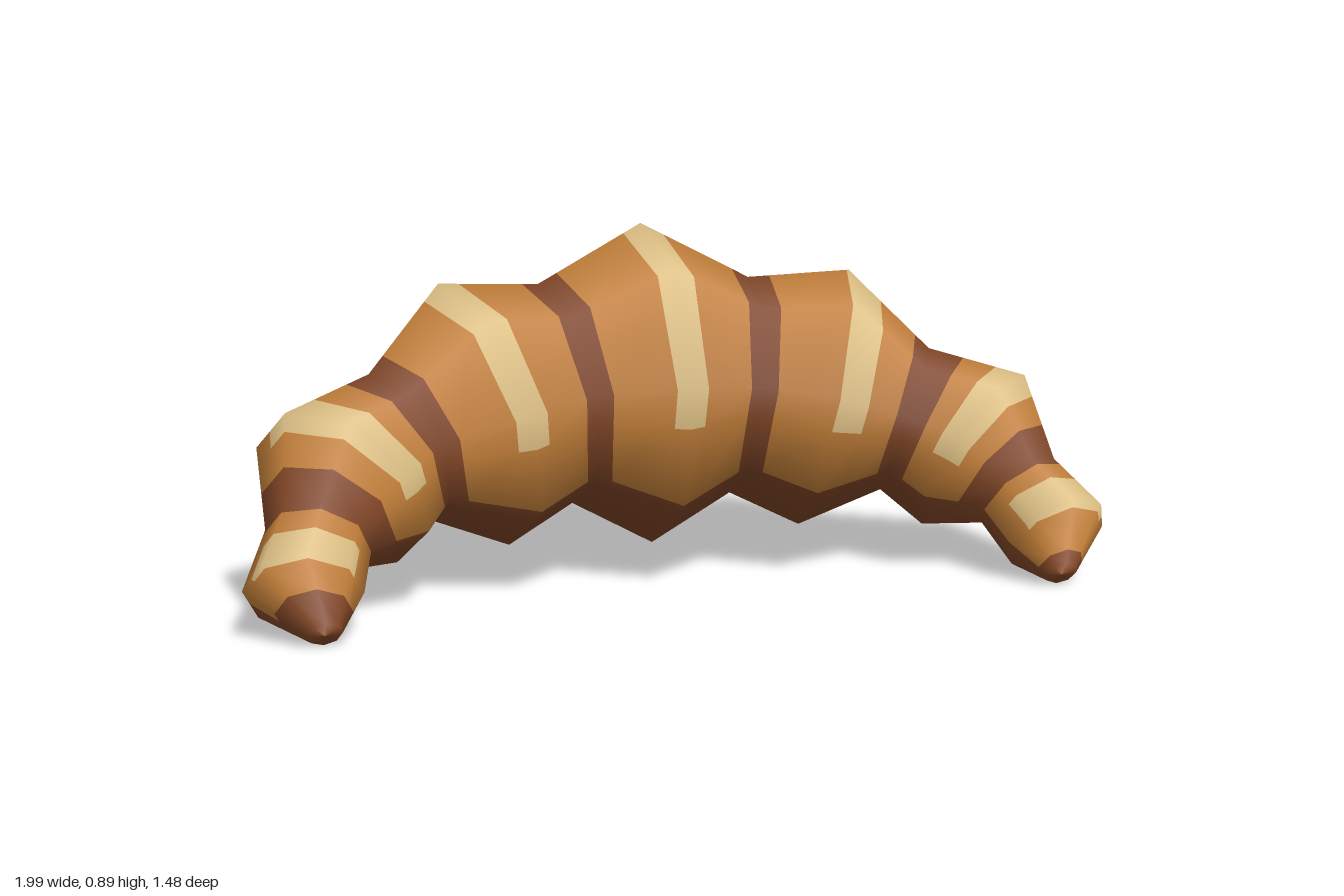
import * as THREE from 'three';

const SIDES = 8;

// Half of the crescent, centre to tip: [along, bend, heading in degrees, radius]; ridges and valleys alternate
const HALF = [
  [0, 0, 0, 0.415],
  [0.248, 0.022, 10, 0.284],
  [0.469, 0.08, 19, 0.342],
  [0.671, 0.172, 30, 0.197],
  [0.827, 0.292, 52, 0.237],
  [0.902, 0.44, 72, 0.125],
  [0.955, 0.59, 84, 0.138],
  [0.922, 0.714, 92, 0.04],
  [0.922, 0.718, 92, 0],
];
const LAST = HALF.length - 1;

// Stripes from the right tip to the left tip: [start, end, colour], counted in rings from the centre
const STRIPES = [
  [-8, -6.5, 'dark'],
  [-6.05, -5.45, 'pale'],
  [-5.07, -4.57, 'dark'],
  [-4.2, -3.66, 'pale'],
  [-3.27, -2.8, 'dark'],
  [-2.2, -1.8, 'pale'],
  [-1.16, -0.82, 'dark'],
  [-0.17, 0.21, 'pale'],
  [0.85, 1.21, 'dark'],
  [1.98, 2.4, 'pale'],
  [2.83, 3.36, 'dark'],
  [3.7, 4.26, 'pale'],
  [4.6, 5.12, 'dark'],
  [5.45, 6.12, 'pale'],
  [6.78, 8, 'dark'],
];

// Stations round a ring, counted in sides from the lower front edge: corners plus colour borders
const PALE_FROM = 0.66;
const PALE_TO = 3.52;
const BACK_MIDDLE = 4.2;
const BACK_ENDS = 4.45;
const STATIONS = [-0.25, 0, PALE_FROM, 1, 2, 3, PALE_TO, 4, BACK_MIDDLE, BACK_ENDS, 5, 6, 7, 7.75];

// Corner k of ring i (negative i is the mirrored half), with its outward direction
function corner(i, k) {
  const [u, v, deg, r] = HALF[Math.abs(i)];
  const side = Math.sign(i);
  const heading = side * THREE.MathUtils.degToRad(deg);
  const a = (k / SIDES) * Math.PI * 2;
  const normal = new THREE.Vector3(-Math.sin(heading) * Math.cos(a), Math.sin(a), Math.cos(heading) * Math.cos(a));
  const point = new THREE.Vector3(side * u, 0, v).addScaledVector(normal, r);
  return { point, normal };
}

function mix(a, b, t) {
  return {
    point: a.point.clone().lerp(b.point, t),
    normal: a.normal.clone().lerp(b.normal, t).normalize(),
  };
}

// Point on the crust at ring position p and station s
function surface(p, s) {
  const i = Math.min(Math.floor(p), LAST - 1);
  const k = Math.floor(s);
  const onRing = (ring) => mix(corner(ring, k), corner(ring, k + 1), s - k);
  return mix(onRing(i), onRing(i + 1), p - i);
}

// Dark underneath, striped above; pale stripes stop short of the lower front and back
function patchColour(p, s) {
  if (s < 0 || s > (Math.abs(p) < 1 ? BACK_MIDDLE : BACK_ENDS)) return 'dark';
  const stripe = STRIPES.find(([start, end]) => p > start && p < end);
  if (!stripe) return 'golden';
  if (stripe[2] === 'pale' && (s < PALE_FROM || s > PALE_TO)) return 'golden';
  return stripe[2];
}

export function createModel() {
  const patches = {
    golden: { pos: [], nor: [] },
    pale: { pos: [], nor: [] },
    dark: { pos: [], nor: [] },
  };

  // Cut the length at every ring and stripe border
  const cuts = new Set(STRIPES.flatMap(([start, end]) => [start, end]));
  for (let i = -LAST; i <= LAST; i++) cuts.add(i);
  const lengths = [...cuts].sort((a, b) => a - b);

  for (let m = 0; m < lengths.length - 1; m++) {
    const [p0, p1] = [lengths[m], lengths[m + 1]];
    for (let n = 0; n < STATIONS.length - 1; n++) {
      const [s0, s1] = [STATIONS[n], STATIONS[n + 1]];
      const a = surface(p0, s0);
      const b = surface(p1, s0);
      const c = surface(p1, s1);
      const d = surface(p0, s1);
      const target = patches[patchColour((p0 + p1) / 2, (s0 + s1) / 2)];
      for (const { point, normal } of [a, b, c, a, c, d]) {
        target.pos.push(...point.toArray());
        target.nor.push(...normal.toArray());
      }
    }
  }

  const looks = {
    golden: ['goldenCrust', 0xbf7d38],
    pale: ['paleRidgeStripes', 0xdabd82],
    dark: ['darkBakedCrust', 0x7f4526],
  };

  // Pastry body, pitched forward onto its two tips and turned
  const pastry = new THREE.Group();
  pastry.name = 'crescentPastry';
  for (const [key, [name, color]] of Object.entries(looks)) {
    const geometry = new THREE.BufferGeometry();
    geometry.setAttribute('position', new THREE.Float32BufferAttribute(patches[key].pos, 3));
    geometry.setAttribute('normal', new THREE.Float32BufferAttribute(patches[key].nor, 3));
    const material = new THREE.MeshStandardMaterial({ color });
    material.name = name;
    const mesh = new THREE.Mesh(geometry, material);
    mesh.name = name;
    pastry.add(mesh);
  }
  pastry.rotation.set(THREE.MathUtils.degToRad(38.5), THREE.MathUtils.degToRad(30), 0, 'YXZ');
  pastry.position.set(-0.17, 0.488, -0.225);

  const model = new THREE.Group();
  model.name = 'croissant';
  model.add(pastry);
  return model;
}
